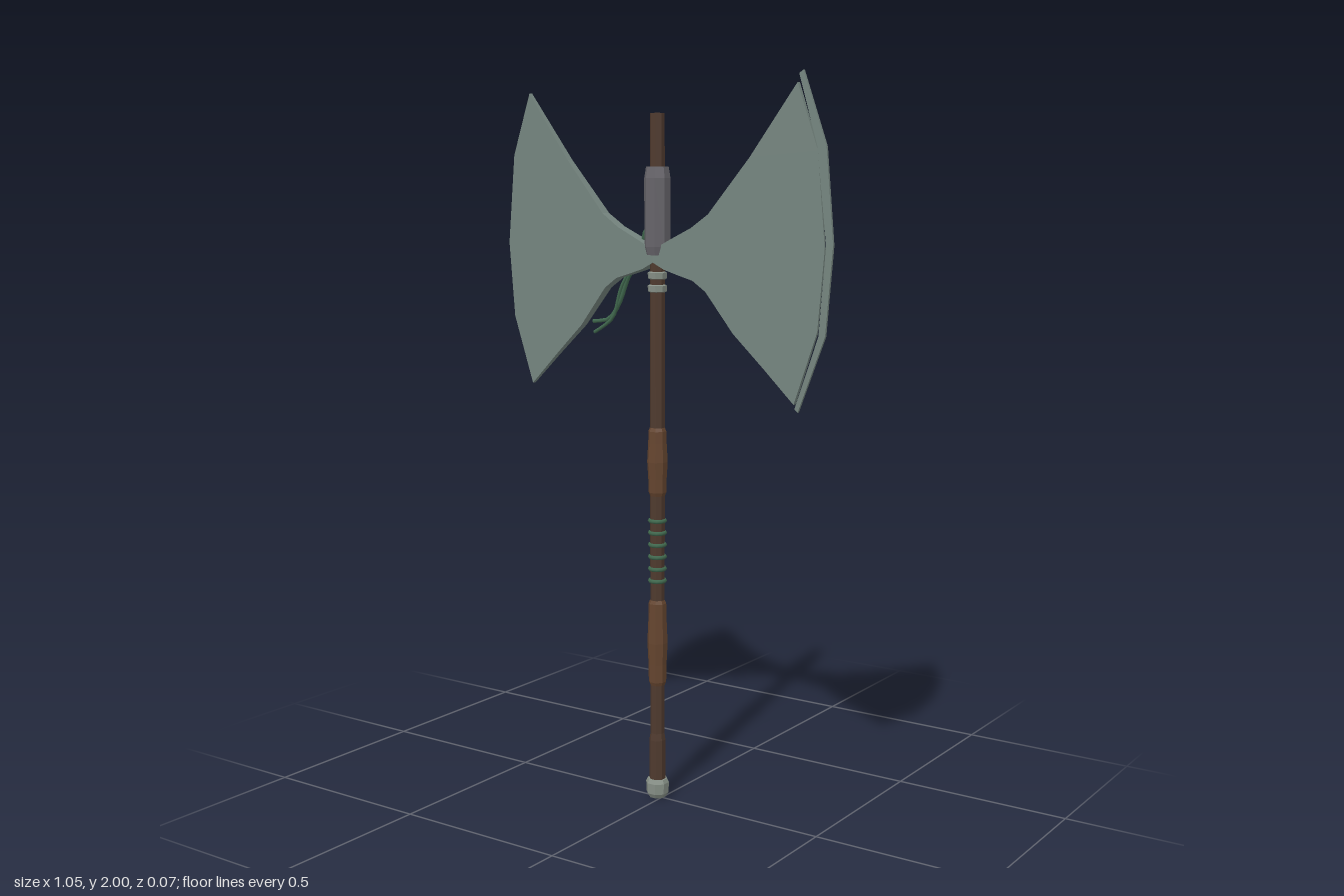
import * as THREE from 'three';

const CX = -0.015; // handle axis
const WOOD = 0x4f3a2e, GRIP = 0x65452f, STEEL = 0x75857f, GREY = 0x66646a, GREEN = 0x40684e, PALE = 0x868f86;

const mat = (color, flatShading = false) => new THREE.MeshStandardMaterial({ color, flatShading });

function add(parent, name, geometry, material) {
  const mesh = new THREE.Mesh(geometry, material);
  mesh.name = name;
  parent.add(mesh);
  return mesh;
}

// Faceted part turned about the handle axis from [radius, height] pairs
function turned(parent, name, profile, color, sides = 8) {
  const points = profile.map(([r, y]) => new THREE.Vector2(r, y));
  const geo = new THREE.LatheGeometry(points, sides, Math.PI / sides);
  return add(parent, name, geo, mat(color, true));
}

// Slab from an outline, its half thickness set by a rule of x
function slab(outline, halfThickness) {
  const shape = new THREE.Shape(outline.map(([x, y]) => new THREE.Vector2(x, y)));
  const geo = new THREE.ExtrudeGeometry(shape, { depth: 1, bevelEnabled: false });
  const p = geo.attributes.position;
  for (let i = 0; i < p.count; i++) {
    p.setZ(i, (p.getZ(i) > 0.5 ? 1 : -1) * halfThickness(p.getX(i)));
  }
  geo.computeVertexNormals();
  return geo;
}

function stem(parent, name, points, radius) {
  const curve = new THREE.CatmullRomCurve3(points.map((p) => new THREE.Vector3(...p)));
  const material = mat(GREEN);
  material.side = THREE.DoubleSide;
  add(parent, name, new THREE.TubeGeometry(curve, 16, radius, 6), material);
}

export function createModel() {
  const axe = new THREE.Group();
  axe.name = 'doubleAxe';
  const body = new THREE.Group();
  body.name = 'axeBody';
  body.position.x = CX;
  axe.add(body);

  // Handle
  turned(body, 'handle', [
    [0, 0.01], [0.023, 0.01], [0.023, 0.17], [0.02, 0.19], [0.021, 1.0],
    [0.021, 1.6], [0.02, 1.905], [0, 1.905],
  ], WOOD);

  // Swollen wooden grips
  for (const [low, high] of [[0.33, 0.575], [0.87, 1.06]]) {
    const h = high - low;
    turned(body, 'grip', [
      [0.021, low], [0.025, low + 0.01], [0.026, low + h * 0.25], [0.029, low + h * 0.5],
      [0.026, low + h * 0.78], [0.025, high - 0.01], [0.021, high],
    ], GRIP);
  }

  // Green cord rings between the grips
  for (let i = 0; i < 6; i++) {
    const ring = add(body, 'cordRing', new THREE.TorusGeometry(0.021, 0.006, 6, 12), mat(GREEN));
    ring.rotation.x = Math.PI / 2;
    ring.position.y = 0.63 + i * 0.034;
  }

  // Collar rings below the head
  for (const y of [1.44, 1.475]) {
    turned(body, 'collarRing', [
      [0.02, y - 0.011], [0.026, y - 0.008], [0.027, y + 0.008], [0.02, y + 0.011],
    ], PALE);
  }

  // Pommel
  turned(body, 'pommel', [
    [0, 0], [0.024, 0.002], [0.032, 0.015], [0.033, 0.045], [0.028, 0.056], [0.02, 0.056],
  ], PALE);

  // Sleeve above the blades
  turned(body, 'headSleeve', [
    [0.02, 1.53], [0.031, 1.53], [0.036, 1.552], [0.036, 1.735], [0.031, 1.765], [0.02, 1.765],
  ], GREY);

  // Wedge blades, thick at the handle and thin at the edge
  const blade = [
    [0, 1.51], [0.035, 1.492], [0.08, 1.478], [0.125, 1.465], [0.165, 1.437], [0.25, 1.33], [0.34, 1.245],
    [0.432, 1.155], [0.497, 1.345], [0.515, 1.555], [0.492, 1.8], [0.432, 1.97],
    [0.295, 1.785], [0.172, 1.64], [0.12, 1.604], [0.06, 1.575], [0, 1.545],
  ];
  const wedge = (x) => 0.022 - 0.037 * Math.abs(x);
  add(body, 'leftBlade', slab(blade, wedge), mat(STEEL));
  const mirrored = blade.map(([x, y]) => [-x, y]);
  add(body, 'rightBlade', slab(mirrored, wedge), mat(STEEL));

  // Cutting edge strip on the left blade
  const edge = [
    [0.443, 1.135], [0.52, 1.335], [0.539, 1.565], [0.516, 1.81], [0.447, 2], [0.435, 1.992],
    [0.49, 1.81], [0.519, 1.565], [0.501, 1.335], [0.433, 1.143],
  ];
  add(body, 'cuttingEdge', slab(edge, () => 0.0035), mat(STEEL));

  // Forked vine hanging behind the right blade
  const vine = new THREE.Group();
  vine.name = 'vine';
  axe.add(vine);
  stem(vine, 'vineStem', [
    [-0.03, 1.625], [-0.06, 1.59], [-0.08, 1.53], [-0.125, 1.465], [-0.155, 1.395], [-0.19, 1.35], [-0.245, 1.34],
  ].map(([x, y], i) => [x, y, i < 2 ? -0.006 : -0.018]), 0.006);
  stem(vine, 'vineFork', [
    [-0.05, 1.6, -0.004], [-0.1, 1.51, -0.016], [-0.145, 1.44, -0.014], [-0.175, 1.355, -0.015],
    [-0.205, 1.33, -0.015], [-0.24, 1.31, -0.015],
  ], 0.005);

  return axe;
}
